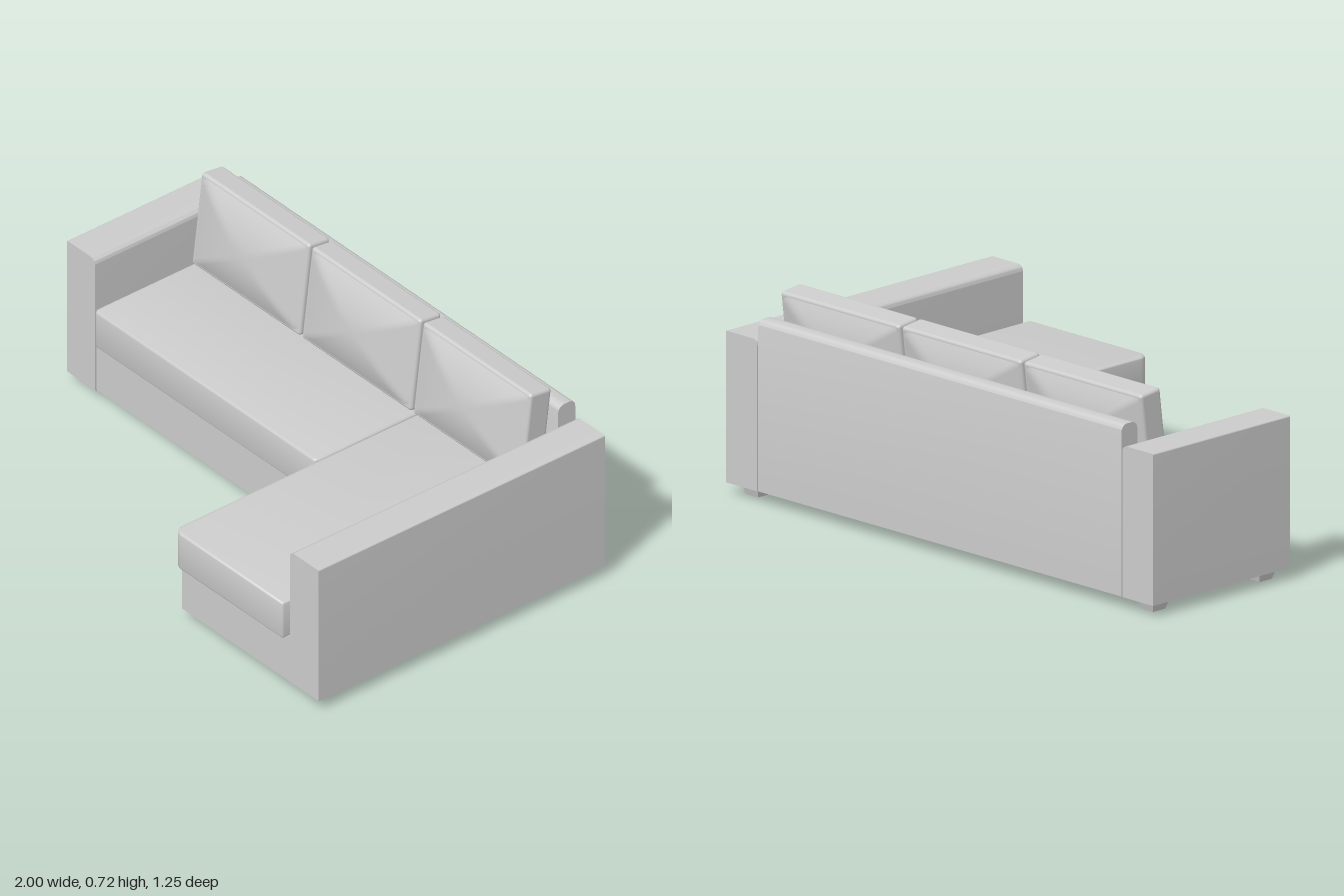
import * as THREE from 'three';
import { RoundedBoxGeometry } from 'three/addons/geometries/RoundedBoxGeometry.js';
import { toCreasedNormals } from 'three/addons/utils/BufferGeometryUtils.js';

const material = new THREE.MeshStandardMaterial({ color: 0xcccccc });

function add(parent, name, geometry, x = 0, y = 0, z = 0) {
  const mesh = new THREE.Mesh(geometry, material);
  mesh.name = name;
  mesh.position.set(x, y, z);
  parent.add(mesh);
  return mesh;
}

// Box given by its limits on each axis
function addBlock(parent, name, [x0, x1], [y0, y1], [z0, z1]) {
  return add(parent, name, new THREE.BoxGeometry(x1 - x0, y1 - y0, z1 - z0),
    (x0 + x1) / 2, (y0 + y1) / 2, (z0 + z1) / 2);
}

// Rectangle with its own radius per corner: bottom left, bottom right, top right, top left
function roundedRect(x0, x1, y0, y1, [bl, br, tr, tl]) {
  const s = new THREE.Shape();
  const corner = (cx, cy, r, a) => {
    if (r > 0) s.absarc(cx, cy, r, a, a + Math.PI / 2, false);
    else s.lineTo(cx, cy);
  };
  s.moveTo(x0 + bl, y0);
  corner(x1 - br, y0 + br, br, -Math.PI / 2);
  corner(x1 - tr, y1 - tr, tr, 0);
  corner(x0 + tl, y1 - tl, tl, Math.PI / 2);
  if (bl > 0) corner(x0 + bl, y0 + bl, bl, Math.PI);
  s.closePath();
  return s;
}

function extrude(shape, depth, bevel = 0) {
  return toCreasedNormals(new THREE.ExtrudeGeometry(shape, {
    depth, curveSegments: 6, bevelEnabled: bevel > 0,
    bevelSize: bevel, bevelThickness: bevel, bevelOffset: -bevel, bevelSegments: 3,
  }), 0.6);
}

// Seat cushion: plan outline extruded upwards with softened edges
function addSeat(parent, name, [x0, x1], [y0, y1], [z0, z1], frontLeft, frontRight) {
  const b = 0.008;
  const shape = roundedRect(x0, x1, -z1, -z0, [frontLeft, frontRight, 0.012, 0.012]);
  const geometry = extrude(shape, y1 - y0 - 2 * b, b).rotateX(-Math.PI / 2);
  return add(parent, name, geometry, 0, y0 + b, 0);
}

// Pillow face swelling from its rim towards the middle, creased along the diagonals
function swelling(width, height, depth) {
  const geometry = new THREE.PlaneGeometry(width, height, 24, 24);
  const p = geometry.attributes.position;
  for (let i = 0; i < p.count; i++) {
    const m = Math.max(Math.abs(p.getX(i)) / (width / 2), Math.abs(p.getY(i)) / (height / 2));
    p.setZ(i, depth * (1 - m * m));
  }
  geometry.computeVertexNormals();
  return geometry;
}

export function createModel() {
  const sofa = new THREE.Group();
  sofa.name = 'cornerSofa';

  // Bases under the seats
  addBlock(sofa, 'mainBase', [-0.855, 0.298], [0.04, 0.222], [-0.54, -0.004]);
  addBlock(sofa, 'chaiseBase', [0.3, 0.852], [0.04, 0.222], [-0.555, 0.594]);

  // Seat cushions
  addSeat(sofa, 'mainSeat', [-0.852, 0.286], [0.222, 0.365], [-0.555, 0.012], 0.02, 0.02);
  addSeat(sofa, 'chaiseSeat', [0.29, 0.851], [0.222, 0.365], [-0.555, 0.625], 0.04, 0.009);

  // Armrests: upright slabs with a rounded inner top edge
  const arms = [
    ['leftArm', roundedRect(0.853, 1, 0.04, 0.56, [0, 0, 0.004, 0.022]), 0.595],
    ['rightArm', roundedRect(-1, -0.856, 0.04, 0.56, [0, 0, 0.022, 0.004]), 0.002],
  ];
  for (const [name, shape, front] of arms) {
    add(sofa, name, extrude(shape, front + 0.63), 0, 0, -0.63);
  }

  // Backrest: profile with a rounded top, run along x
  const backShape = roundedRect(0.555, 0.628, 0.04, 0.628, [0, 0, 0.026, 0.026]);
  add(sofa, 'backrest', extrude(backShape, 1.7).rotateY(-Math.PI / 2).scale(1, 1, -1)
    .rotateY(0), 0, 0, 0).geometry = extrude(
    roundedRect(-0.628, -0.555, 0.04, 0.628, [0, 0, 0.026, 0.026]), 1.7)
    .rotateY(-Math.PI / 2).rotateY(Math.PI).scale(1, 1, 1).rotateY(Math.PI)
    .translate(0.85, 0, 0);

  // Three loose back cushions, leaning backwards
  const h = 0.348, t = 0.092;
  for (const [x0, x1] of [[-0.847, -0.293], [-0.283, 0.277], [0.287, 0.843]]) {
    const w = x1 - x0;
    const cushion = new THREE.Group();
    cushion.name = 'backCushion';
    cushion.position.set((x0 + x1) / 2, 0.54, -0.468);
    cushion.rotation.x = -0.125;
    add(cushion, 'cushionRim', new RoundedBoxGeometry(w, h, t, 3, 0.012));
    const face = swelling(w - 0.02, h - 0.02, 0.042);
    add(cushion, 'cushionFront', face, 0, 0, t / 2 - 0.001);
    add(cushion, 'cushionBack', face, 0, 0, -t / 2 + 0.001).rotation.y = Math.PI;
    sofa.add(cushion);
  }

  // Tapered square feet
  const foot = toCreasedNormals(
    new THREE.CylinderGeometry(0.04 * Math.SQRT2, 0.028 * Math.SQRT2, 0.042, 4).rotateY(Math.PI / 4), 0.5);
  for (const [x, z] of [[-0.925, -0.555], [-0.925, -0.065], [0.37, 0.525], [0.925, 0.525], [0.925, -0.555]]) {
    add(sofa, 'foot', foot, x, 0.021, z);
  }
  return sofa;
}
